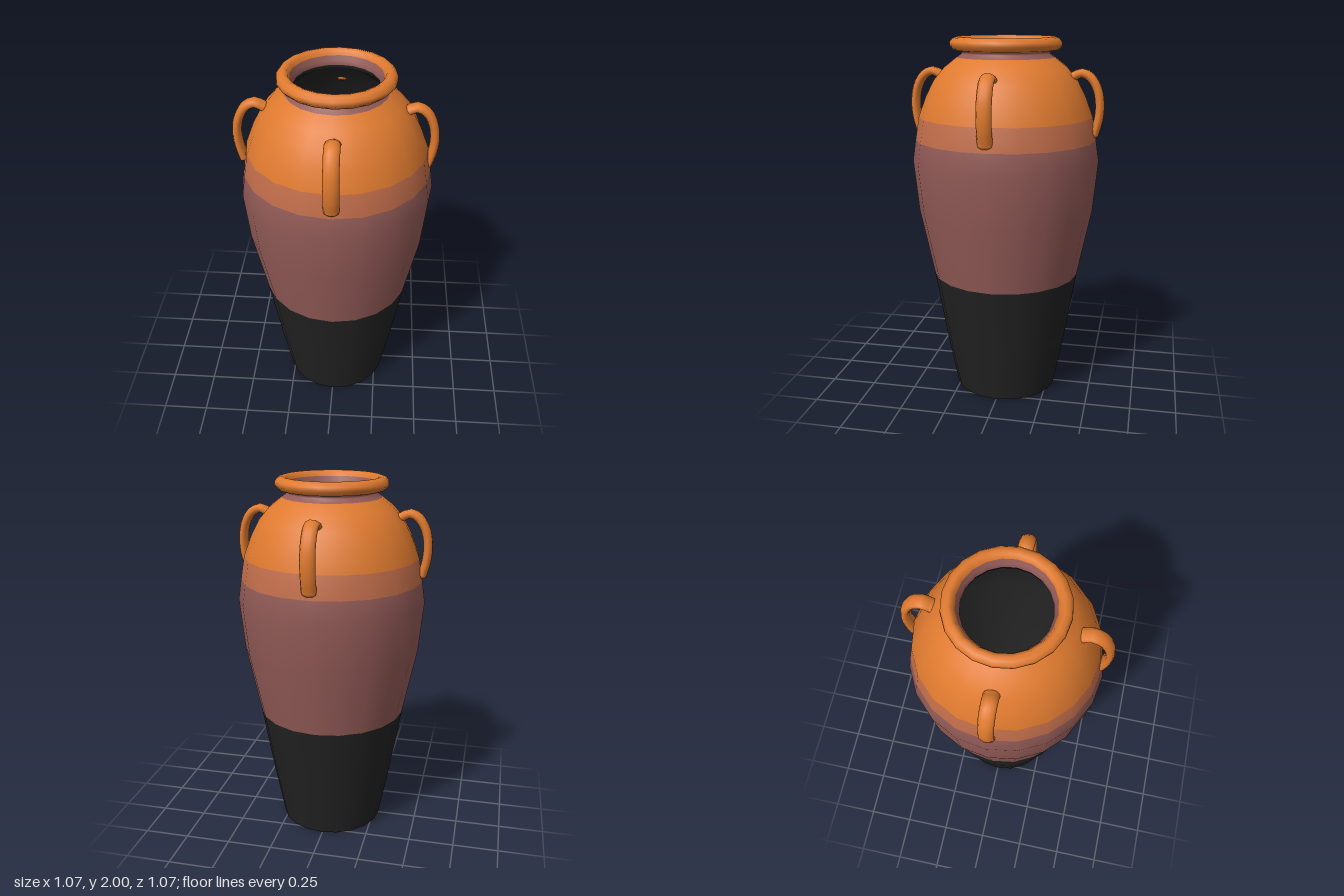
import * as THREE from 'three';

const mat = (name, color) => {
  const m = new THREE.MeshStandardMaterial({ color });
  m.name = name;
  return m;
};

export function createModel() {
  const black = mat('black glaze', 0x222222);
  const purple = mat('purple clay', 0x935b57);
  const terracotta = mat('terracotta band', 0xbf6c49);
  const orange = mat('orange clay', 0xdf7a2f);

  const jar = new THREE.Group();
  jar.name = 'jar';

  // Profile [radius, height] runs up the outside, over the lip and down the inside.
  // Each band starts where the previous one ends.
  const bands = [
    ['base', black, [[0, 0], [0.287, 0], [0.287, 0], [0.345, 0.3], [0.41, 0.685]]],
    ['belly', purple, [[0.487, 1.06], [0.514, 1.34], [0.497, 1.455]]],
    ['shoulderBand', terracotta, [[0.476, 1.58]]],
    ['shoulder', orange, [[0.434, 1.69], [0.39, 1.775], [0.335, 1.84], [0.268, 1.893]]],
    ['neck', purple, [[0.238, 1.913], [0.245, 1.925]]],
    ['rim', orange, [[0.282, 1.932], [0.304, 1.955], [0.302, 1.975], [0.287, 1.993],
      [0.265, 2], [0.247, 1.993], [0.236, 1.97]]],
    ['innerNeck', purple, [[0.226, 1.945], [0.217, 1.925]]],
    ['inside', black, [[0.225, 1.9], [0.36, 1.78], [0.46, 1.5], [0.475, 1.3], [0.25, 0.04], [0, 0.04]]],
  ];
  const points = bands.flatMap(b => b[2]).map(([r, y]) => new THREE.Vector2(r, y));
  const sides = 20;
  const full = new THREE.LatheGeometry(points, sides);

  // One mesh per band, sharing smooth normals across the colour edges
  let row = 0;
  bands.forEach(([name, material, pts], b) => {
    const end = row + pts.length - (b === 0 ? 1 : 0);
    const index = [];
    for (let s = 0; s < sides; s++) {
      for (let j = row; j < end; j++) {
        const a = s * points.length + j;
        const c = a + points.length;
        index.push(a, c, a + 1, c + 1, a + 1, c);
      }
    }
    const geo = full.clone();
    geo.setIndex(index);
    const mesh = new THREE.Mesh(geo, material);
    mesh.name = name;
    mesh.position.x = 0.007;
    jar.add(mesh);
    row = end;
  });

  // Four loop handles, wider across than they are thick
  const path = new THREE.CatmullRomCurve3([
    [0.365, 1.795], [0.41, 1.815], [0.458, 1.793], [0.497, 1.73],
    [0.512, 1.65], [0.507, 1.57], [0.488, 1.495],
  ].map(([x, y]) => new THREE.Vector3(x, y, 0)));
  const loop = new THREE.TubeGeometry(path, 16, 0.025, 10);
  loop.scale(1, 1, 1.6);

  // Rounded caps close the two ends of each loop
  const cap = new THREE.SphereGeometry(0.025, 10, 6);
  cap.scale(1, 1, 1.6);

  ['left', 'back', 'right', 'front'].forEach((side, i) => {
    const handle = new THREE.Group();
    handle.name = side + 'Handle';
    handle.add(new THREE.Mesh(loop, orange));
    for (const t of [0, 1]) {
      const end = new THREE.Mesh(cap, orange);
      end.position.copy(path.getPoint(t));
      handle.add(end);
    }
    handle.rotation.y = i * Math.PI / 2;
    handle.position.set(i % 2 ? 0.012 : 0, 0, i % 2 ? 0 : 0.01);
    jar.add(handle);
  });

  return jar;
}
